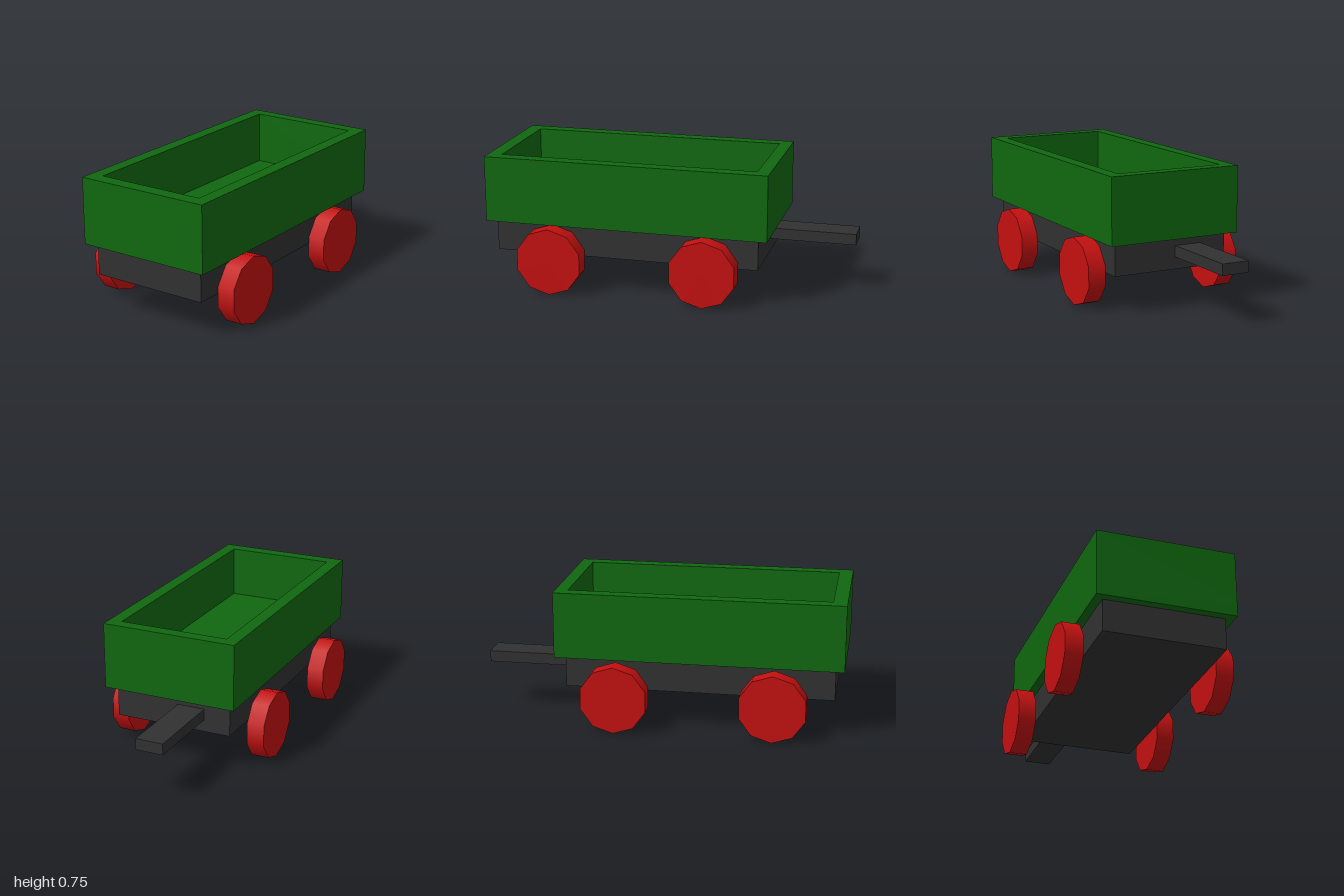
import * as THREE from 'three';

const green = new THREE.MeshStandardMaterial({ name: 'green body', color: 0x106810 });
const dark = new THREE.MeshStandardMaterial({ name: 'dark chassis', color: 0x313131 });
const red = new THREE.MeshStandardMaterial({ name: 'red wheel', color: 0xc41010 });

// Box given by its extents on each axis
function block(name, material, [x0, x1], [y0, y1], [z0, z1]) {
  const mesh = new THREE.Mesh(new THREE.BoxGeometry(x1 - x0, y1 - y0, z1 - z0), material);
  mesh.position.set((x0 + x1) / 2, (y0 + y1) / 2, (z0 + z1) / 2);
  mesh.name = name;
  return mesh;
}

// Rectangle traced into a shape or path
function rectangle(path, x0, x1, y0, y1) {
  path.moveTo(x0, y0);
  path.lineTo(x1, y0);
  path.lineTo(x1, y1);
  path.lineTo(x0, y1);
  path.closePath();
  return path;
}

export function createModel() {
  const model = new THREE.Group();
  model.name = 'wagon';

  // Open tub: a rim of walls standing on a floor slab
  const tub = new THREE.Group();
  tub.name = 'tub';
  const floorTop = 0.46;
  const outline = rectangle(new THREE.Shape(), -0.357, 0.404, -1, 0.58);
  outline.holes.push(rectangle(new THREE.Path(), -0.284, 0.331, -0.923, 0.51));
  const wallGeometry = new THREE.ExtrudeGeometry(outline, { depth: 0.75 - floorTop, bevelEnabled: false });
  wallGeometry.rotateX(-Math.PI / 2);
  const walls = new THREE.Mesh(wallGeometry, green);
  walls.name = 'walls';
  walls.position.y = floorTop;
  tub.add(walls, block('floor', green, [-0.357, 0.404], [0.384, floorTop], [-0.58, 1]));
  model.add(tub);

  // Chassis and the offset drawbar at the back
  model.add(block('chassis', dark, [-0.31, 0.357], [0.208, 0.384], [-0.525, 0.952]));
  model.add(block('drawbar', dark, [-0.16, -0.005], [0.275, 0.337], [-1, -0.5]));

  // Ten-sided wheels, each with a corner at the bottom
  const radius = 0.188;
  const wheelGeometry = new THREE.CylinderGeometry(radius, radius, 0.098, 10, 1, false, Math.PI / 2);
  wheelGeometry.rotateZ(Math.PI / 2);
  for (const [end, z] of [['front', 0.628], ['back', -0.236]]) {
    for (const [side, x] of [['Left', 0.406], ['Right', -0.409]]) {
      const wheel = new THREE.Mesh(wheelGeometry, red);
      wheel.name = end + side + 'Wheel';
      wheel.position.set(x, radius, z);
      model.add(wheel);
    }
  }
  return model;
}
